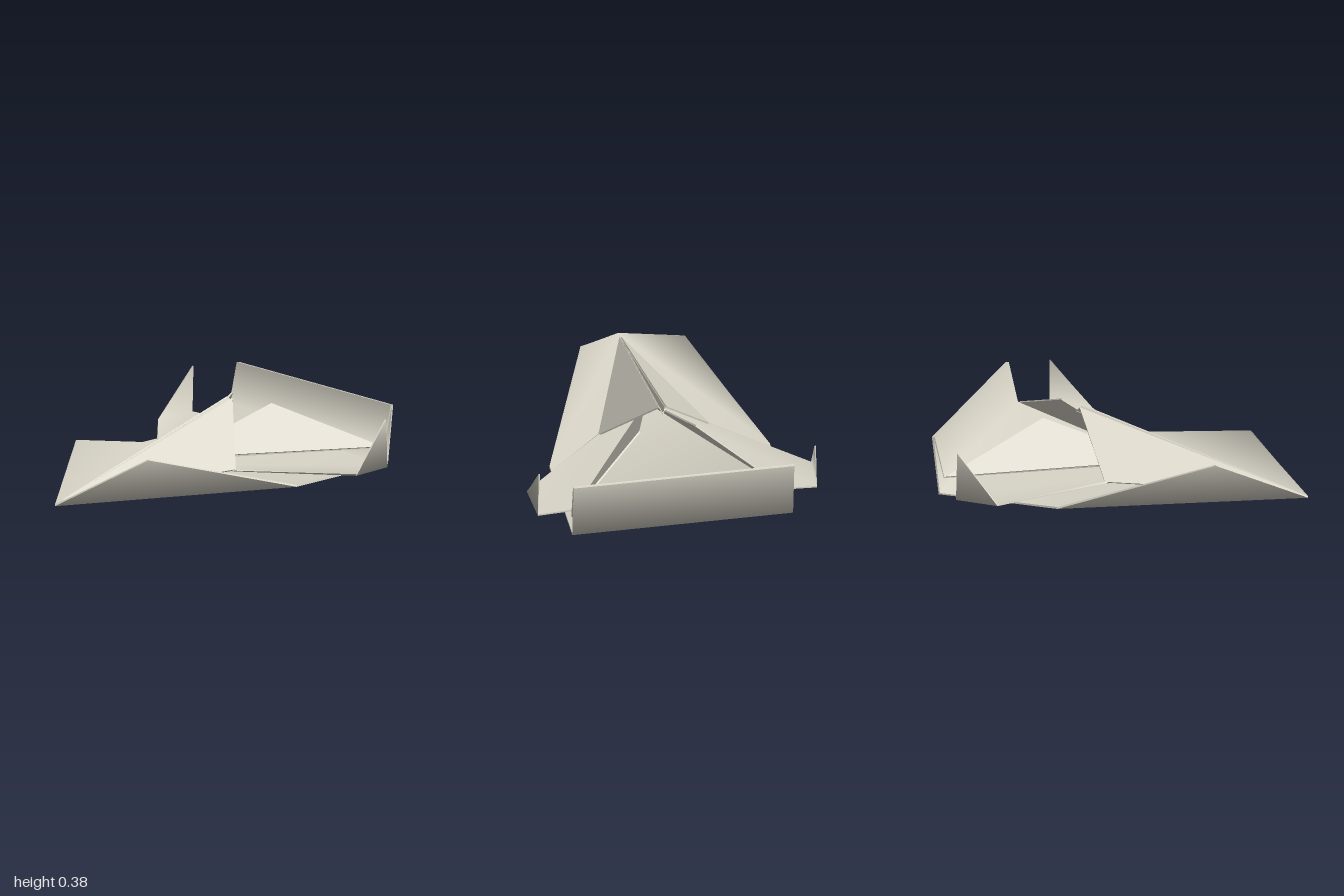
import * as THREE from 'three';

const THICK = 0.011;

// Folded sheet: corners + upward-facing triangles, given a thickness and a crisp rim
function sheet(points, faces, t = THICK) {
  const base = new THREE.BufferGeometry();
  base.setAttribute('position', new THREE.Float32BufferAttribute(points.flat(), 3));
  base.setIndex(faces.flat());
  base.computeVertexNormals();
  const nAttr = base.getAttribute('normal');
  const pos = [], nor = [];
  const low = points.map((p) => new THREE.Vector3(...p));
  const n = points.map((_, i) => new THREE.Vector3().fromBufferAttribute(nAttr, i));
  const high = low.map((p, i) => p.clone().addScaledVector(n[i], t));
  const put = (p, m) => { pos.push(p.x, p.y, p.z); nor.push(m.x, m.y, m.z); };
  const edges = new Set();
  for (const [a, b, c] of faces) {
    for (const i of [a, b, c]) put(high[i], n[i]);
    for (const i of [a, c, b]) put(low[i], n[i].clone().negate());
    edges.add(`${a},${b}`).add(`${b},${c}`).add(`${c},${a}`);
  }
  // rim along every edge used by only one triangle
  for (const e of edges) {
    const [a, b] = e.split(',').map(Number);
    if (edges.has(`${b},${a}`)) continue;
    const m = low[b].clone().sub(low[a]).cross(n[a]).normalize();
    for (const p of [low[a], low[b], high[b], low[a], high[b], high[a]]) put(p, m);
  }
  const g = new THREE.BufferGeometry();
  g.setAttribute('position', new THREE.Float32BufferAttribute(pos, 3));
  g.setAttribute('normal', new THREE.Float32BufferAttribute(nor, 3));
  return g;
}

export function createModel() {
  const model = new THREE.Group();
  model.name = 'foldedGlider';
  const paper = new THREE.MeshStandardMaterial({ color: 0xd9d5c8, side: THREE.DoubleSide });
  paper.name = 'warm grey paper';

  const add = (name, points, faces, t) => {
    const mesh = new THREE.Mesh(sheet(points, faces, t), paper);
    mesh.name = name;
    model.add(mesh);
  };
  // Left part plus its mirror image
  const addPair = (name, points, faces, t) => {
    add(`${name}Left`, points, faces, t);
    add(`${name}Right`, points.map(([x, y, z]) => [-x, y, z]),
      faces.map(([a, b, c]) => [a, c, b]), t);
  };

  // Flat hull with raised front flaps and an upright tail panel
  add('hull', [
    [0, 0, 1],
    [0.295, 0.24, 0.56], [-0.295, 0.24, 0.56],
    [0.625, 0, -0.26], [-0.625, 0, -0.26],
    [0.625, 0, -0.96], [-0.625, 0, -0.96],
    [0.625, 0.335, -1], [-0.625, 0.335, -1],
  ], [[0, 3, 4], [4, 3, 5], [4, 5, 6], [0, 1, 3], [0, 4, 2], [6, 5, 7], [6, 7, 8]]);

  // Upper deck turning up to meet the tail panel
  add('rearDeck', [
    [0, 0.1, 0.12],
    [0.625, 0.1, -0.93], [-0.625, 0.1, -0.93],
    [0.625, 0.335, -0.99], [-0.625, 0.335, -0.99],
  ], [[0, 1, 2], [2, 1, 3], [2, 3, 4]], 0.008);

  // Flaps folded up and inward over the deck
  addPair('deckFlap', [
    [0, 0.11, 0.12], [0.62, 0.105, -0.92], [0.155, 0.34, -0.51],
  ], [[0, 1, 2]], 0.009);

  // Wings with upright tips
  addPair('wing', [
    [0, 0.08, 0.2], [0.31, 0.06, -0.08], [0.805, 0.045, -0.55],
    [0.79, 0.045, -0.8], [0, 0.08, -0.8], [0.785, 0.32, -0.795],
  ], [[0, 1, 2], [0, 2, 3], [0, 3, 4], [3, 2, 5]], 0.009);

  // Peaked central body
  addPair('bodyPanel', [
    [0, 0.02, 0.93], [0.31, 0.065, -0.09], [0.018, 0.372, -0.34],
  ], [[0, 1, 2]], 0.009);

  // Narrow crease between the two body panels
  addPair('ridgeCrease', [
    [0, 0.022, 0.93], [0.018, 0.374, -0.34], [0, 0.345, -0.37],
  ], [[0, 1, 2]], 0.004);

  return model;
}
